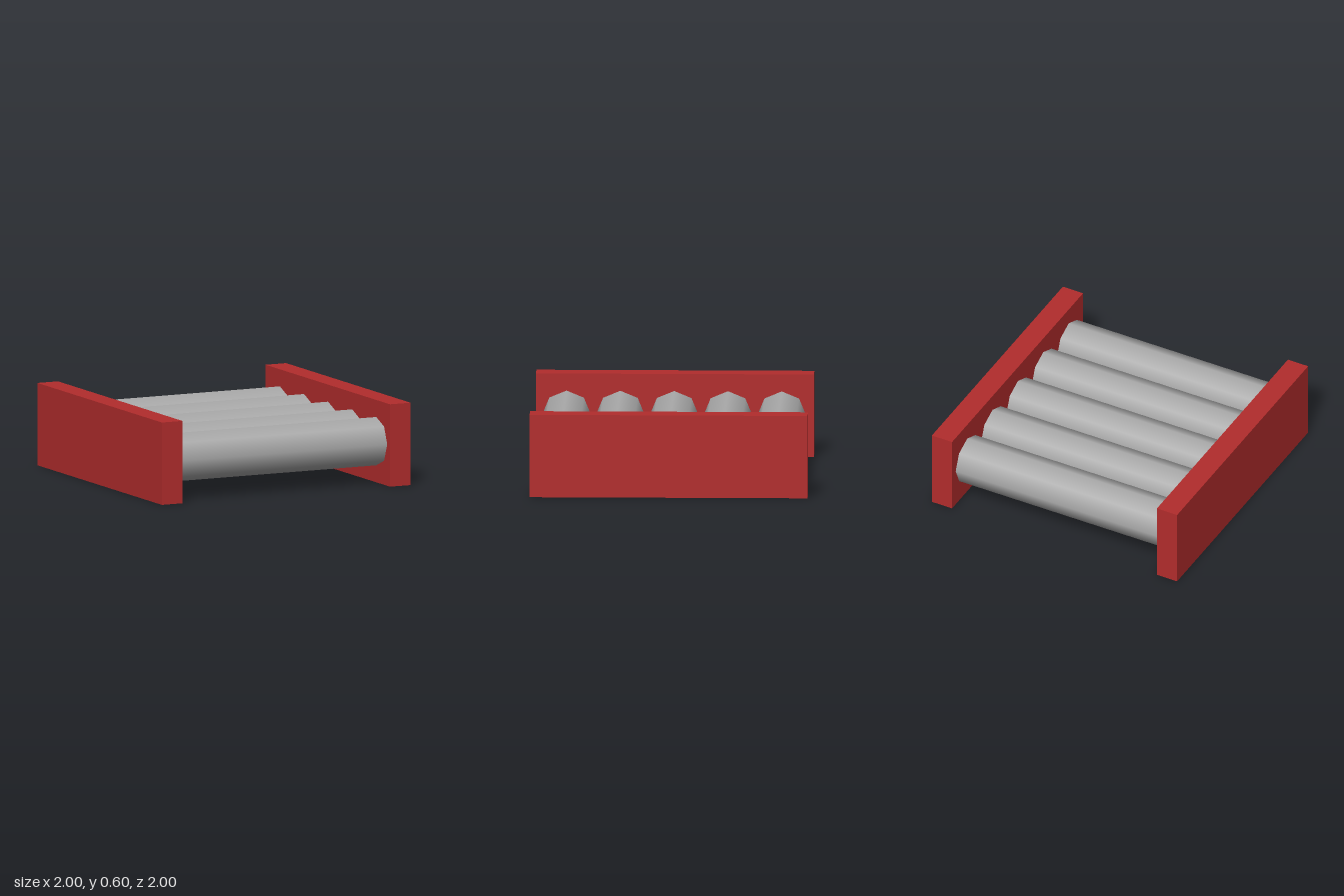
import * as THREE from 'three';

export function createModel() {
  const group = new THREE.Group();
  const red = new THREE.MeshStandardMaterial({ name: 'red paint', color: 0xb22c2c });
  const grey = new THREE.MeshStandardMaterial({ name: 'grey metal', color: 0xaaaaaa });

  const add = (name, geometry, material, x, y, z) => {
    const mesh = new THREE.Mesh(geometry, material);
    mesh.name = name;
    mesh.position.set(x, y, z);
    group.add(mesh);
  };

  // Side rails
  const rail = new THREE.BoxGeometry(0.165, 0.6, 2);
  add('leftRail', rail, red, 0.9175, 0.3, 0);
  add('rightRail', rail, red, -0.9175, 0.3, 0);

  // Five smooth-shaded eight-sided rollers spanning the rails
  const roller = new THREE.CylinderGeometry(0.176, 0.176, 1.67, 8).rotateZ(Math.PI / 2);
  for (let i = 0; i < 5; i++) {
    add(`roller${i + 1}`, roller, grey, 0, 0.3, 0.005 + (i - 2) * 0.387);
  }
  return group;
}
